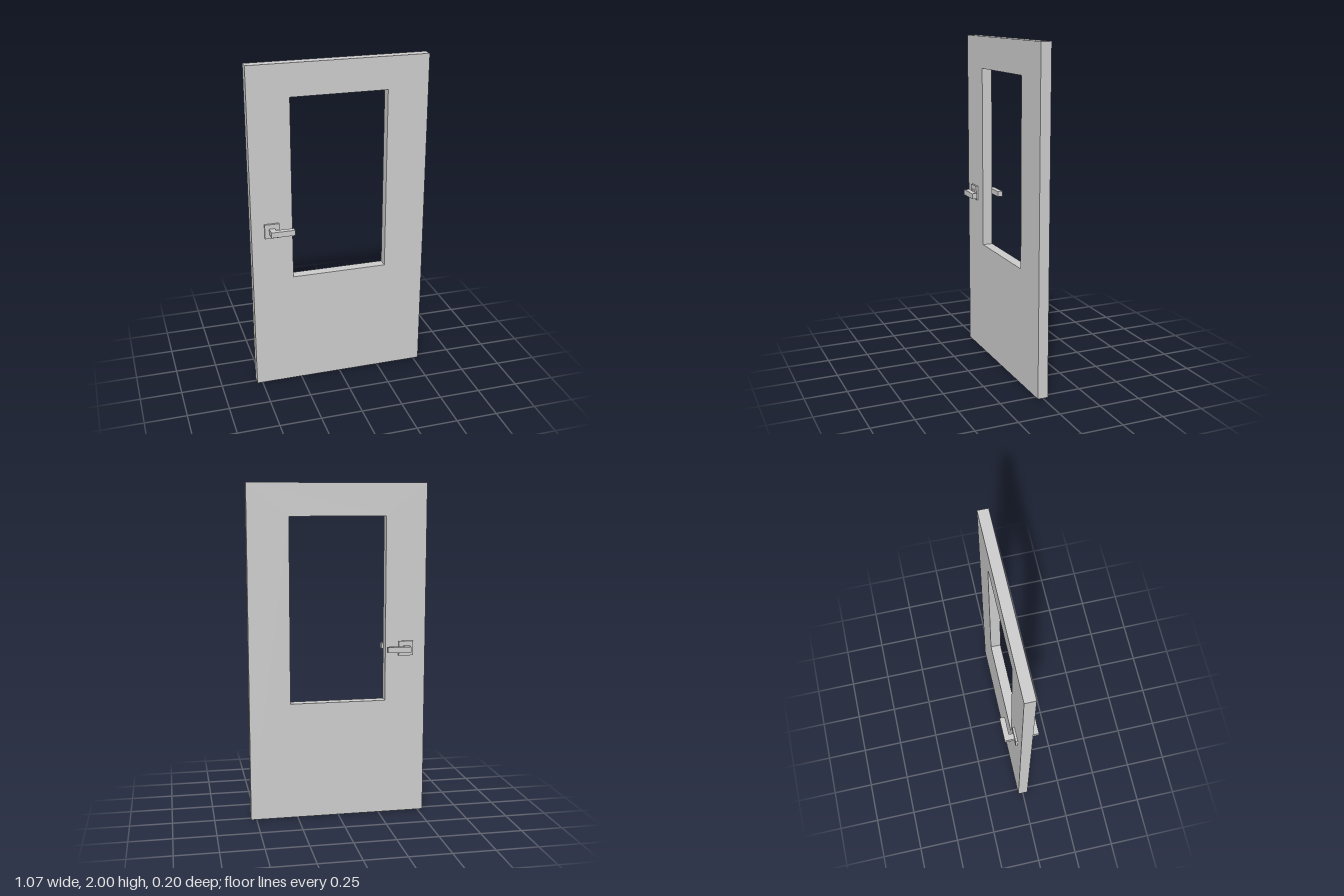
import * as THREE from 'three';

const W = 1.066, H = 2, T = 0.062;
const HANDLE_Y = 1.022;

export function createModel() {
  const model = new THREE.Group();
  model.name = 'door';
  const material = new THREE.MeshStandardMaterial({ color: 0xcccccc, flatShading: true });

  // Door slab with a rectangular window opening
  const outline = new THREE.Shape([
    [-W / 2, 0], [W / 2, 0], [W / 2, H], [-W / 2, H],
  ].map(([x, y]) => new THREE.Vector2(x, y)));
  outline.holes.push(new THREE.Path([
    [-0.288, 0.704], [-0.288, 1.808], [0.288, 1.808], [0.288, 0.704],
  ].map(([x, y]) => new THREE.Vector2(x, y))));
  const slabGeometry = new THREE.ExtrudeGeometry(outline, { depth: T, bevelEnabled: false });
  slabGeometry.translate(0, 0, -T / 2);
  const slab = new THREE.Mesh(slabGeometry, material);
  slab.name = 'doorSlab';
  model.add(slab);

  // Box spanning x0..x1 and z0..z1, centred on the handle height
  const addBox = (parent, name, x0, x1, height, z0, z1) => {
    const mesh = new THREE.Mesh(new THREE.BoxGeometry(x1 - x0, height, Math.abs(z1 - z0)), material);
    mesh.position.set((x0 + x1) / 2, HANDLE_Y, (z0 + z1) / 2);
    mesh.name = name;
    parent.add(mesh);
  };

  // Matching handles on the front and back faces
  for (const [side, s] of [['front', 1], ['back', -1]]) {
    const handle = new THREE.Group();
    handle.name = side + 'Handle';
    addBox(handle, 'backPlate', -0.456, -0.368, 0.088, s * T / 2, s * 0.044);
    addBox(handle, 'stem', -0.43, -0.396, 0.033, s * 0.044, s * 0.07);
    addBox(handle, 'lever', -0.43, -0.288, 0.033, s * 0.07, s * 0.102);
    model.add(handle);
  }
  return model;
}
